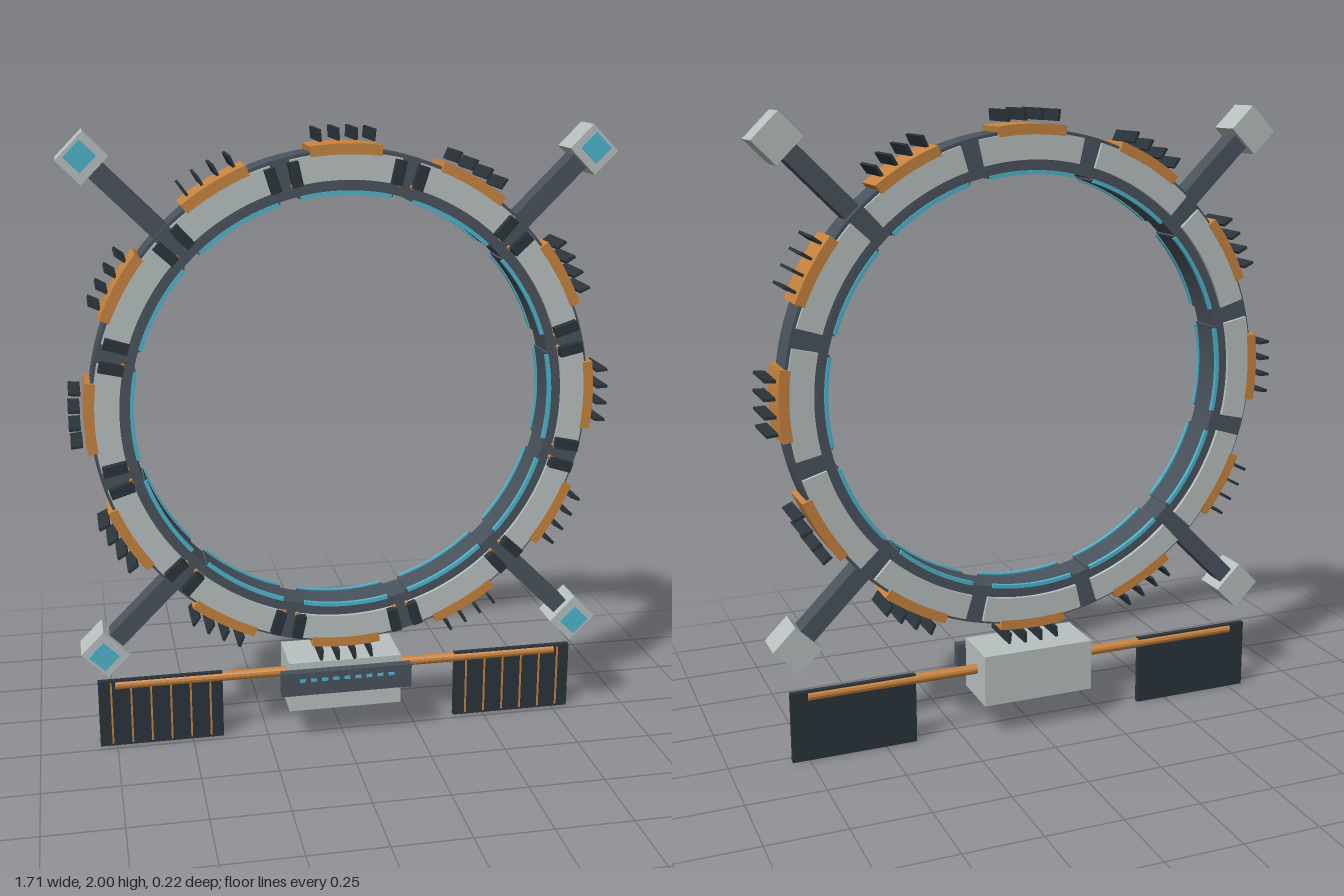
import * as THREE from 'three';

const mat = (color) => new THREE.MeshStandardMaterial({ color, flatShading: true });
const light = mat(0xb9c2c1), slate = mat(0x4a535d), dark = mat(0x2b343b);
const orange = mat(0xc8843e), teal = mat(0x4fb6cf);
const DEG = Math.PI / 180;

function add(parent, name, geometry, material, x = 0, y = 0, z = 0) {
  const m = new THREE.Mesh(geometry, material);
  m.name = name;
  m.position.set(x, y, z);
  parent.add(m);
  return m;
}

const box = (parent, name, material, w, h, d, x, y, z) =>
  add(parent, name, new THREE.BoxGeometry(w, h, d), material, x, y, z);

// Curved block centred on the +x axis: radii r0..r1, angular span in degrees, z0..z1
function arc(parent, name, material, r0, r1, span, z0, z1) {
  const a = span * DEG / 2;
  const s = new THREE.Shape();
  s.absarc(0, 0, r1, -a, a, false);
  s.absarc(0, 0, r0, a, -a, true);
  s.closePath();
  const g = new THREE.ExtrudeGeometry(s, { depth: z1 - z0, bevelEnabled: false, curveSegments: 8 });
  return add(parent, name, g, material, 0, 0, z0);
}

// Group turned to an angle around the ring, so local +x points outward
function spoke(parent, name, degrees) {
  const g = new THREE.Group();
  g.name = name;
  g.rotation.z = degrees * DEG;
  parent.add(g);
  return g;
}

export function createModel() {
  const model = new THREE.Group();
  model.name = 'ringStation';

  const ring = new THREE.Group();
  ring.name = 'ring';
  ring.position.set(0, 1.146, 0.013);
  model.add(ring);

  // Dark core of the ring
  const outline = new THREE.Shape().absarc(0, 0, 0.79, 0, Math.PI * 2, false);
  outline.holes.push(new THREE.Path().absarc(0, 0, 0.667, 0, Math.PI * 2, true));
  add(ring, 'ringCore', new THREE.ExtrudeGeometry(outline,
    { depth: 0.114, bevelEnabled: false, curveSegments: 96 }), slate, 0, 0, -0.057);

  for (let i = 0; i < 12; i++) {
    // Plated sector with light strips, radiator band and fins
    const sector = spoke(ring, 'sector', i * 30);
    arc(sector, 'hullPanel', light, 0.7, 0.78, 25.5, -0.069, 0.069);
    arc(sector, 'innerLiner', slate, 0.661, 0.69, 25, -0.06, 0.06);
    for (const s of [-1, 1]) {
      arc(sector, 'lightStrip', teal, 0.656, 0.668, 24, s * 0.06 - 0.006, s * 0.06 + 0.006);
    }
    arc(sector, 'radiatorBand', orange, 0.775, 0.807, 16, -0.07, 0.07);
    for (let k = 0; k < 4; k++) {
      const fin = spoke(sector, 'fin', (k - 1.5) * 3.75);
      box(fin, 'radiatorFin', dark, 0.036, 0.009, 0.154, 0.835, 0, 0);
    }

    // Pair of clamps over the joint between sectors
    const joint = spoke(ring, 'joint', i * 30 + 15);
    for (const s of [-1, 1]) {
      const clamp = spoke(joint, 'clamp', s * 2.7);
      box(clamp, 'clampBlock', dark, 0.075, 0.032, 0.03, 0.737, 0, 0.081);
      box(clamp, 'clampFoot', slate, 0.06, 0.024, 0.02, 0.737, 0, 0.06);
      const bolt = add(clamp, 'clampBolt', new THREE.CylinderGeometry(0.007, 0.007, 0.016, 8),
        orange, 0.703, -s * 0.012, 0.067);
      bolt.rotation.x = Math.PI / 2;
    }
  }

  // Four diagonal arms carrying thruster pods
  for (let i = 0; i < 4; i++) {
    const arm = spoke(ring, 'arm', 45 + i * 90);
    box(arm, 'armBeam', slate, 0.31, 0.058, 0.072, 0.915, 0, 0.002);
    box(arm, 'pod', light, 0.102, 0.116, 0.114, 1.097, 0, 0.005);
    box(arm, 'podWindow', teal, 0.066, 0.07, 0.008, 1.105, 0, 0.063);
  }

  // Service module below the ring
  const base = new THREE.Group();
  base.name = 'serviceModule';
  model.add(base);
  box(base, 'moduleBody', light, 0.375, 0.17, 0.181, 0, 0.199, -0.0205);
  box(base, 'console', slate, 0.434, 0.08, 0.03, 0, 0.222, 0.085);
  for (let i = 0; i < 9; i++) {
    box(base, 'consoleLight', teal, 0.02, 0.01, 0.006, (i - 4) * 0.037, 0.235, 0.101);
  }

  // Boom and solar panels
  const boom = add(base, 'boom', new THREE.CylinderGeometry(0.016, 0.016, 1.5, 12), orange, 0, 0.214, -0.031);
  boom.rotation.z = Math.PI / 2;
  for (const s of [-1, 1]) {
    const wing = new THREE.Group();
    wing.name = s > 0 ? 'leftSolarWing' : 'rightSolarWing';
    wing.position.set(s * 0.601, 0.116, -0.031);
    base.add(wing);
    box(wing, 'solarPanel', dark, 0.408, 0.232, 0.018, 0, 0, 0);
    for (let k = 0; k < 6; k++) {
      box(wing, 'cellStrip', orange, 0.006, 0.216, 0.004, (k - 2.5) * 0.065, 0, 0.01);
    }
  }

  return model;
}
